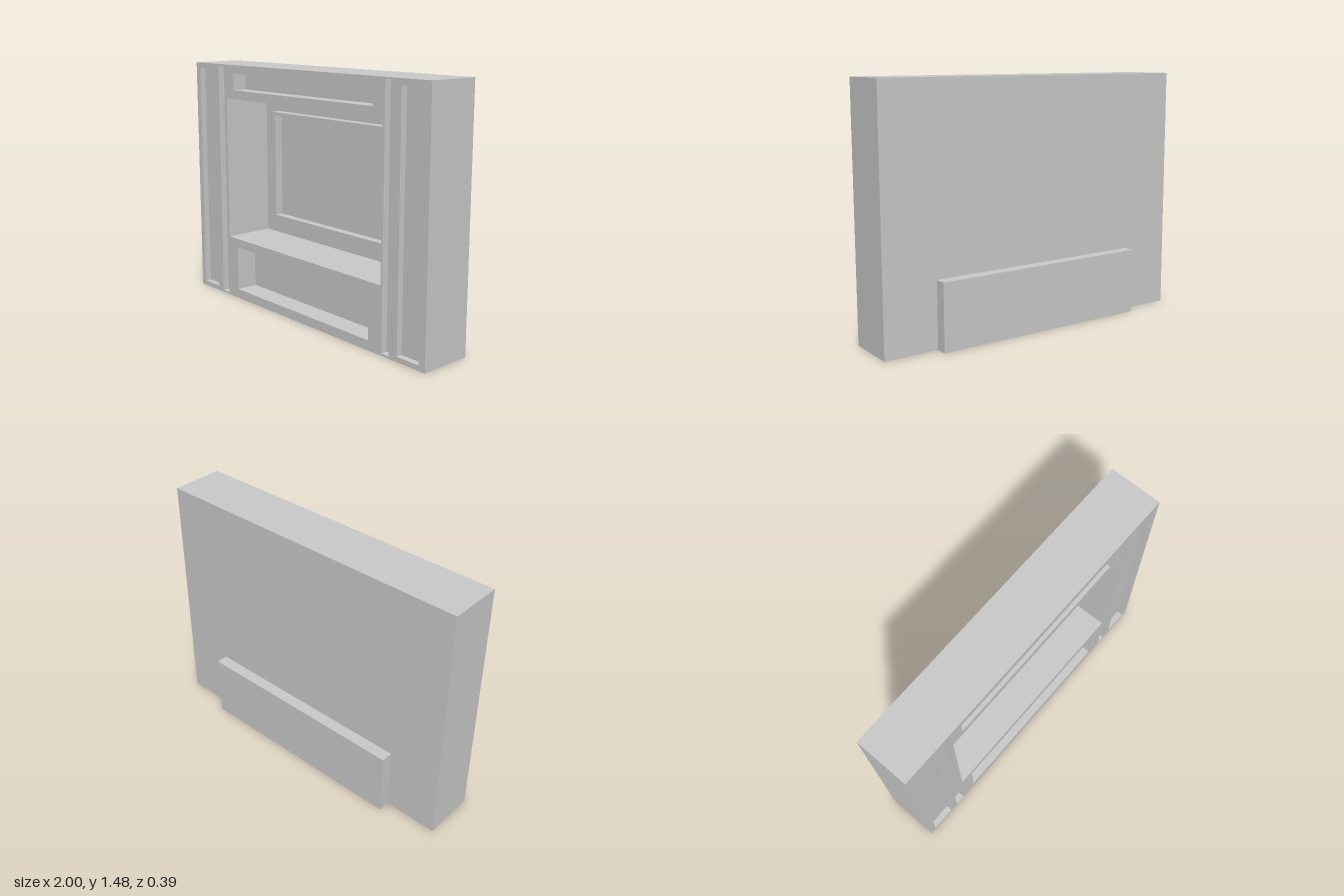
import * as THREE from 'three';

const FRONT = 0.195, BACK = -0.125, HEIGHT = 1.48;
const material = new THREE.MeshStandardMaterial({ color: 0xcccccc });

function add(parent, geometry, name) {
  const mesh = new THREE.Mesh(geometry, material);
  mesh.name = name;
  parent.add(mesh);
}

// Box without its front face; inward = true turns it into a recess lining
function openBox([x0, x1, y0, y1], zBack, zFront, inward) {
  const geo = new THREE.BoxGeometry(x1 - x0, y1 - y0, zFront - zBack);
  geo.translate((x0 + x1) / 2, (y0 + y1) / 2, (zBack + zFront) / 2);
  const index = [...geo.index.array];
  index.splice(24, 6);
  if (inward) {
    index.reverse();
    const normal = geo.attributes.normal;
    for (let i = 0; i < normal.array.length; i++) normal.array[i] *= -1;
  }
  geo.setIndex(index);
  geo.clearGroups();
  return geo;
}

function trace(path, [x0, x1, y0, y1]) {
  path.moveTo(x0, y0);
  path.lineTo(x1, y0);
  path.lineTo(x1, y1);
  path.lineTo(x0, y1);
  path.closePath();
  return path;
}

// Flat front face pierced by rectangular openings
function piercedFace(rect, openings, z) {
  const shape = trace(new THREE.Shape(), rect);
  shape.holes = openings.map((r) => trace(new THREE.Path(), r));
  return new THREE.ShapeGeometry(shape).translate(0, 0, z);
}

// Raised block whose front is cut by recesses: { name, rect, depth }
function recessedBlock(name, rect, zBack, zFront, recesses) {
  const group = new THREE.Group();
  group.name = name;
  add(group, openBox(rect, zBack, zFront, false), name + 'Shell');
  add(group, piercedFace(rect, recesses.map((r) => r.rect), zFront), name + 'Face');
  for (const r of recesses) add(group, openBox(r.rect, zFront - r.depth, zFront, true), r.name);
  return group;
}

export function createModel() {
  const model = new THREE.Group();
  model.name = 'mediaWall';

  // Main wall with its niche, slots and side panels
  const nicheDepth = 0.312;
  model.add(recessedBlock('wall', [-1, 1, 0, HEIGHT], BACK, FRONT, [
    { name: 'screenNiche', rect: [-0.677, 0.675, 0.39, 1.273], depth: nicheDepth },
    { name: 'upperSlot', rect: [-0.603, 0.6, 1.327, 1.427], depth: 0.09 },
    { name: 'lowerSlot', rect: [-0.593, 0.588, 0.058, 0.335], depth: 0.135 },
    { name: 'rightStrip', rect: [-0.758, -0.694, 0.013, 1.472], depth: 0.04 },
    { name: 'leftStrip', rect: [0.69, 0.745, 0.013, 1.472], depth: 0.04 },
    { name: 'rightPanel', rect: [-0.96, -0.81, 0.03, 1.448], depth: 0.037 },
    { name: 'leftPanel', rect: [0.803, 0.957, 0.03, 1.448], depth: 0.037 },
  ]));

  // Framed screen standing off the back of the niche
  model.add(recessedBlock('screen', [-0.55, 0.547, 0.503, 1.182], FRONT - nicheDepth, FRONT - 0.25, [
    { name: 'screenPanel', rect: [-0.512, 0.51, 0.523, 1.16], depth: 0.05 },
  ]));

  // Shallow box on the back of the wall
  const rear = new THREE.BoxGeometry(1.352, 0.395, 0.07).translate(0, 0.1975, -0.16);
  add(model, rear, 'rearBox');

  return model;
}
